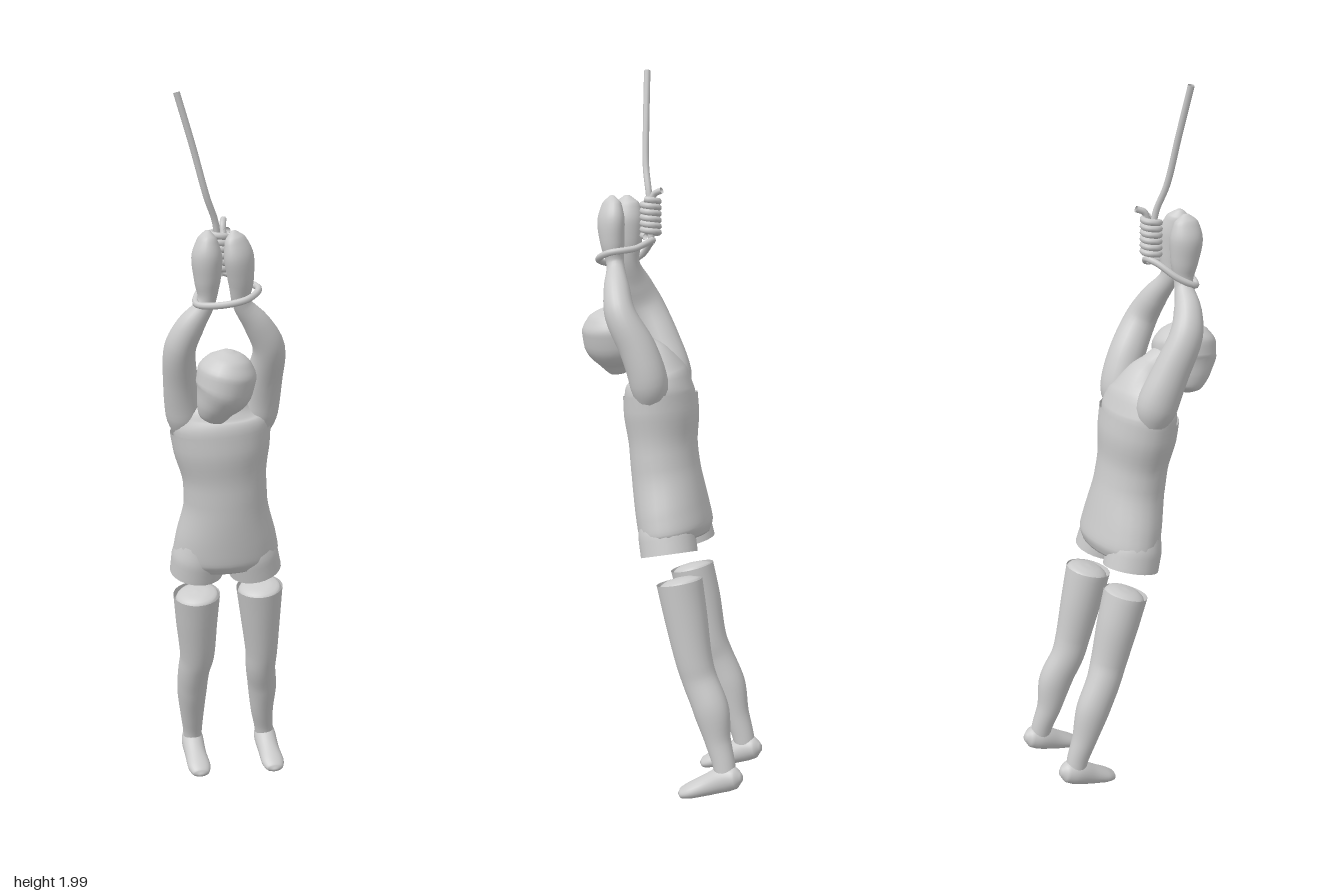
import * as THREE from 'three';

const mat = new THREE.MeshStandardMaterial({ color: 0xcccccc, side: THREE.DoubleSide });
const YAW = 0.4; // the whole figure is turned towards its left

// Smooth tube of ellipses; each section is [x, y, z, side radius, depth radius]
function loft(name, sections, { steps = 5, sides = 24, yaw = YAW, capStart = false, capEnd = false } = {}) {
  const centre = new THREE.CatmullRomCurve3(sections.map(s => new THREE.Vector3(s[0], s[1], s[2])));
  const radius = new THREE.CatmullRomCurve3(sections.map(s => new THREE.Vector3(s[3], s[4], 0)));
  const rings = (sections.length - 1) * steps;
  const pos = [], index = [];
  for (let i = 0; i <= rings; i++) {
    const t = i / rings;
    const c = centre.getPoint(t), r = radius.getPoint(t), T = centre.getTangent(t);
    const S = new THREE.Vector3(Math.cos(yaw), 0, -Math.sin(yaw));
    S.addScaledVector(T, -S.dot(T)).normalize();
    const F = new THREE.Vector3().crossVectors(S, T);
    for (let j = 0; j < sides; j++) {
      const a = (j / sides) * Math.PI * 2;
      const p = c.clone().addScaledVector(S, Math.cos(a) * r.x).addScaledVector(F, Math.sin(a) * r.y);
      pos.push(p.x, p.y, p.z);
      if (i < rings) {
        const k = (j + 1) % sides, lo = i * sides, hi = lo + sides;
        index.push(lo + j, hi + j, lo + k, hi + j, hi + k, lo + k);
      }
    }
  }
  const cap = (section, ring, flip) => {
    const n = pos.length / 3;
    pos.push(section[0], section[1], section[2]);
    for (let j = 0; j < sides; j++) {
      const a = ring * sides + j, b = ring * sides + (j + 1) % sides;
      index.push(n, flip ? b : a, flip ? a : b);
    }
  };
  if (capStart) cap(sections[0], 0, false);
  if (capEnd) cap(sections[sections.length - 1], rings, true);
  const geo = new THREE.BufferGeometry();
  geo.setAttribute('position', new THREE.Float32BufferAttribute(pos, 3));
  geo.setIndex(index);
  geo.computeVertexNormals();
  const mesh = new THREE.Mesh(geo, mat);
  mesh.name = name;
  return mesh;
}

const closed = { capStart: true, capEnd: true };

function rope(name, points, loop = false, segments = 64) {
  const curve = new THREE.CatmullRomCurve3(points.map(p => new THREE.Vector3(...p)), loop);
  const mesh = new THREE.Mesh(new THREE.TubeGeometry(curve, segments, 0.009, 8, loop), mat);
  mesh.name = name;
  return mesh;
}

function createLeg(name, sections, footOffset) {
  const g = new THREE.Group();
  g.name = name;
  g.add(loft('stocking', sections, { capEnd: true }));
  // Low dome that closes the top of the stocking, just inside its rim
  const [x, y, z, a, b] = sections[0];
  g.add(loft('legLid', [
    [x, y - 0.012, z - 0.004, a * 0.95, b * 0.95],
    [x, y - 0.001, z, a * 0.85, b * 0.85],
    [x, y + 0.008, z + 0.003, a * 0.5, b * 0.5],
    [x, y + 0.011, z + 0.004, 0.004, 0.004],
  ], { steps: 3, capEnd: true }));
  const foot = loft('foot', [
    [0.044, 0.086, -0.272, 0.008, 0.01],
    [0.05, 0.083, -0.255, 0.028, 0.03],
    [0.06, 0.075, -0.225, 0.033, 0.036],
    [0.083, 0.052, -0.18, 0.032, 0.029],
    [0.106, 0.033, -0.14, 0.034, 0.021],
    [0.118, 0.023, -0.118, 0.025, 0.014],
    [0.122, 0.02, -0.11, 0.006, 0.004],
  ], { yaw: 0.5, ...closed });
  foot.position.set(footOffset[0], 0, footOffset[1]);
  g.add(foot);
  return g;
}

export function createModel() {
  const model = new THREE.Group();
  model.name = 'hangingMannequin';

  // Strapless bodice down to the hips
  model.add(loft('bodice', [
    [-0.004, 0.715, 0.0, 0.135, 0.085],
    [-0.003, 0.745, 0.006, 0.15, 0.1],
    [0, 0.8, 0.017, 0.141, 0.1],
    [0.005, 0.9, 0.035, 0.117, 0.096],
    [0.005, 0.97, 0.045, 0.116, 0.094],
    [0, 1.06, 0.056, 0.133, 0.102],
    [-0.002, 1.115, 0.062, 0.139, 0.1],
  ], { capStart: true }));

  // Chest, shoulders and neck
  model.add(loft('chestAndNeck', [
    [0, 1.06, 0.056, 0.126, 0.095],
    [0, 1.12, 0.063, 0.132, 0.094],
    [0, 1.165, 0.068, 0.115, 0.08],
    [0.008, 1.205, 0.08, 0.07, 0.058],
    [0.018, 1.235, 0.108, 0.045, 0.045],
    [0.03, 1.265, 0.15, 0.042, 0.042],
  ]));

  // Head, bowed forward: from chin to crown
  model.add(loft('head', [
    [0.008, 1.163, 0.195, 0.008, 0.008],
    [0.011, 1.172, 0.196, 0.034, 0.038],
    [0.022, 1.205, 0.197, 0.053, 0.066],
    [0.042, 1.25, 0.194, 0.076, 0.09],
    [0.052, 1.295, 0.193, 0.078, 0.09],
    [0.06, 1.333, 0.193, 0.055, 0.064],
    [0.063, 1.35, 0.193, 0.024, 0.028],
    [0.064, 1.354, 0.193, 0.004, 0.004],
  ], { yaw: 0.2, ...closed }));

  // Short trouser legs with a recessed cap inside each
  const shorts = [
    ['rightShortsLeg', [-0.067, 0.785, 0.05], [-0.082, 0.684, 0.03]],
    ['leftShortsLeg', [0.062, 0.785, -0.006], [0.073, 0.684, -0.034]],
  ];
  for (const [name, top, hem] of shorts) {
    const at = k => top.map((v, i) => v + (hem[i] - v) * k);
    model.add(loft(name, [
      [...at(1), 0.075, 0.08], [...at(0.5), 0.074, 0.08], [...at(0), 0.06, 0.07],
    ]));
    model.add(loft(name + 'Lining', [
      [...at(0.75), 0.074, 0.079], [...at(0.7), 0.04, 0.04], [...at(0.68), 0.003, 0.003],
    ], { steps: 2, capEnd: true }));
  }

  // Lower legs, swung backwards, from the top rim to the ankle
  model.add(createLeg('rightLeg', [
    [-0.085, 0.608, 0.016, 0.067, 0.062],
    [-0.092, 0.52, -0.006, 0.06, 0.06],
    [-0.1, 0.4, -0.035, 0.05, 0.052],
    [-0.115, 0.345, -0.052, 0.046, 0.05],
    [-0.13, 0.27, -0.082, 0.044, 0.05],
    [-0.138, 0.18, -0.108, 0.035, 0.037],
    [-0.143, 0.12, -0.128, 0.029, 0.032],
    [-0.146, 0.08, -0.137, 0.027, 0.03],
  ], [-0.205, 0.09]));
  model.add(createLeg('leftLeg', [
    [0.077, 0.615, -0.074, 0.067, 0.064],
    [0.075, 0.52, -0.095, 0.058, 0.06],
    [0.072, 0.4, -0.122, 0.047, 0.052],
    [0.066, 0.345, -0.138, 0.044, 0.05],
    [0.062, 0.27, -0.174, 0.043, 0.051],
    [0.057, 0.18, -0.196, 0.034, 0.037],
    [0.057, 0.12, -0.217, 0.029, 0.032],
    [0.058, 0.08, -0.227, 0.027, 0.03],
  ], [0, 0]));

  // Raised arms ending in simple mitten hands
  model.add(loft('rightArm', [
    [-0.085, 1.08, 0.085, 0.03, 0.03],
    [-0.092, 1.16, 0.1, 0.052, 0.058],
    [-0.092, 1.25, 0.135, 0.047, 0.052],
    [-0.08, 1.35, 0.178, 0.042, 0.046],
    [-0.05, 1.41, 0.186, 0.037, 0.038],
    [-0.008, 1.475, 0.18, 0.024, 0.026],
    [-0.004, 1.53, 0.182, 0.034, 0.038],
    [-0.004, 1.59, 0.186, 0.04, 0.046],
    [-0.003, 1.64, 0.185, 0.025, 0.034],
    [-0.002, 1.66, 0.184, 0.006, 0.008],
  ], closed));
  model.add(loft('leftArm', [
    [0.08, 1.08, 0.03, 0.03, 0.03],
    [0.095, 1.16, 0.02, 0.052, 0.055],
    [0.113, 1.25, 0.042, 0.05, 0.052],
    [0.137, 1.345, 0.085, 0.042, 0.045],
    [0.115, 1.41, 0.118, 0.036, 0.037],
    [0.08, 1.475, 0.155, 0.024, 0.026],
    [0.081, 1.53, 0.164, 0.031, 0.038],
    [0.078, 1.59, 0.172, 0.034, 0.048],
    [0.068, 1.64, 0.178, 0.023, 0.034],
    [0.064, 1.66, 0.18, 0.006, 0.008],
  ], { yaw: -0.3, ...closed }));

  // Rope: hanging line, coiled knot, wrist loop and loose end
  model.add(rope('hangingRope', [
    [-0.083, 2, 0.18], [-0.05, 1.87, 0.155], [-0.02, 1.74, 0.13],
    [-0.003, 1.67, 0.105], [0, 1.6, 0.093], [0.005, 1.53, 0.09],
  ]));
  const coil = [];
  for (let i = 0; i <= 72; i++) {
    const a = (i / 12) * Math.PI * 2;
    coil.push([0.003 + Math.cos(a) * 0.022, 1.55 + i * 0.0014, 0.093 + Math.sin(a) * 0.022]);
  }
  model.add(rope('knotCoil', coil, false, 180));
  model.add(rope('wristLoop', [
    [0.005, 1.54, 0.085], [0.07, 1.52, 0.09], [0.122, 1.508, 0.14], [0.105, 1.488, 0.195],
    [0.04, 1.473, 0.215], [-0.025, 1.472, 0.207], [-0.034, 1.495, 0.16], [-0.015, 1.53, 0.11],
  ], true));
  model.add(rope('looseEnd', [
    [0.012, 1.64, 0.085], [0.008, 1.665, 0.075], [0.004, 1.675, 0.052],
  ], false, 12));

  return model;
}
